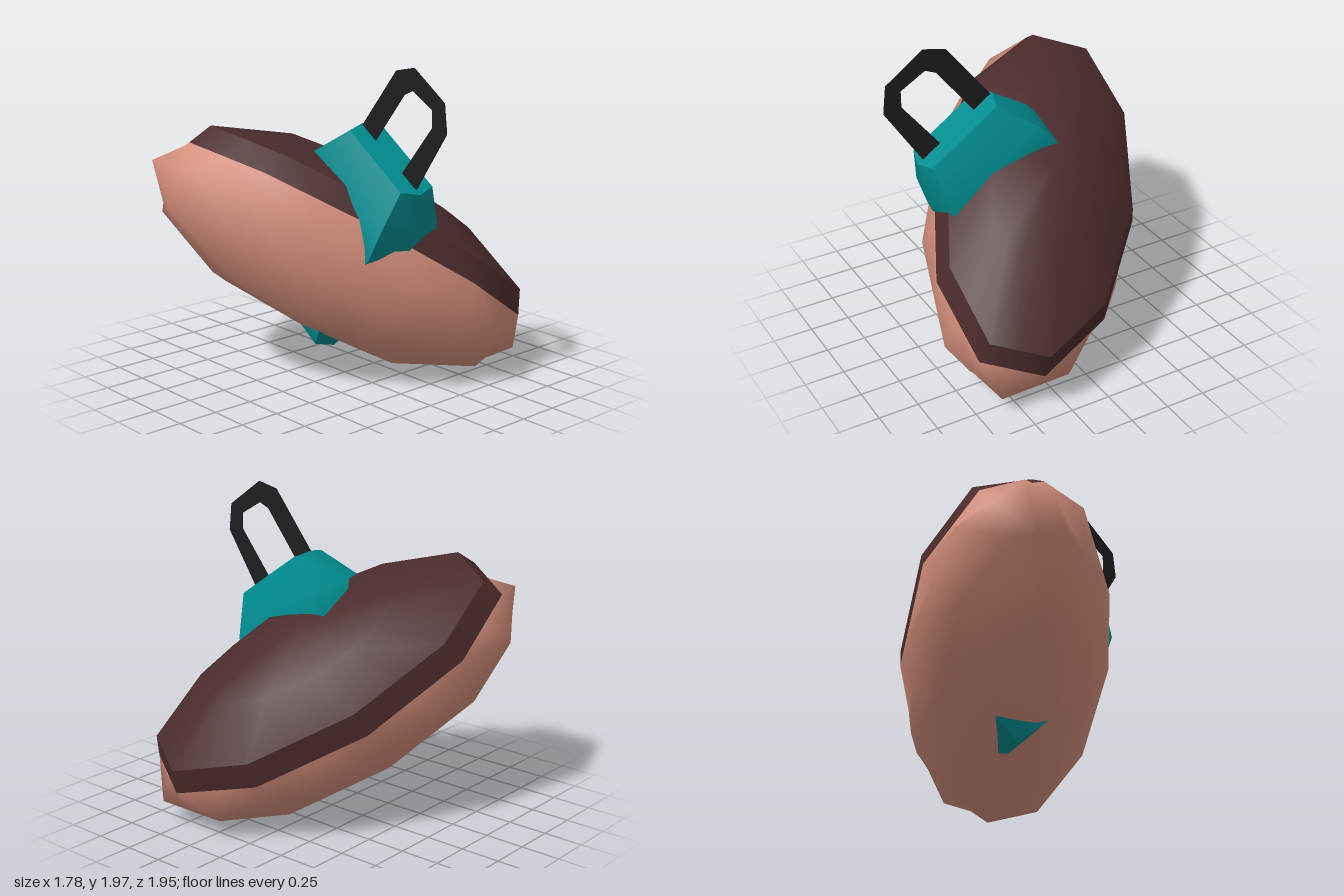
import * as THREE from 'three';
import { mergeVertices, toCreasedNormals } from 'three/addons/utils/BufferGeometryUtils.js';

const mat = (name, color, side = THREE.FrontSide) =>
  Object.assign(new THREE.MeshStandardMaterial({ color, side }), { name });

function add(group, name, geometry, material) {
  const mesh = new THREE.Mesh(geometry, material);
  mesh.name = name;
  group.add(mesh);
}

// Shares vertices so the surface shades smoothly
function smooth(geometry) {
  geometry.deleteAttribute('uv');
  geometry.deleteAttribute('normal');
  const g = mergeVertices(geometry, 1e-4);
  g.computeVertexNormals();
  return g;
}

// Lofts rings along y; place(ring, k, sin, cos) gives the point at step k around
function loft(rings, steps, place) {
  const g = new THREE.LatheGeometry(rings.map(([h, a]) => new THREE.Vector2(a, h)), steps);
  const p = g.attributes.position;
  for (let i = 0; i < p.count; i++) {
    const k = Math.floor(i / rings.length) % steps;
    const angle = (k / steps) * Math.PI * 2;
    p.setXYZ(i, ...place(rings[i % rings.length], k, Math.sin(angle), Math.cos(angle)));
  }
  return smooth(g);
}

// Layer of ten-sided ovals: [height, x radius, z radius, 1 = corner at the tip, 0 = flat tip]
const ovalLayer = (rings) => loft(rings, 20, ([h, a, b, pointed], k, s, c) => {
  const r = k % 2 === pointed ? 1 : Math.cos(Math.PI / 10);
  const x = s * a * r;
  return [x, h + 0.04 * x, c * b * r];
});

// Block of long hexagons: [height, half x, half z]
const HEXAGON = [[0.86, 1], [1, 0], [0.86, -1], [-0.86, -1], [-1, 0], [-0.86, 1]];
const hexBlock = (rings) => loft(rings, 6, ([h, a, b], k) => [HEXAGON[k][0] * a, h, HEXAGON[k][1] * b]);

export function createModel() {
  const model = new THREE.Group();
  model.name = 'tiltedPod';
  const tan = mat('tan', 0xd58f7c);
  const brown = mat('darkBrown', 0x4b2b2c);
  const teal = mat('teal', 0x008c90);
  const black = mat('black', 0x1e1e1e, THREE.DoubleSide);

  // Tilted oval body: tan shell, brown rim band and brown dome
  const body = new THREE.Group();
  body.name = 'body';
  const along = new THREE.Vector3(0.531, -0.521, -0.668).normalize();
  const up = new THREE.Vector3(0.06, 0.79, -0.61);
  up.addScaledVector(along, -up.dot(along)).normalize();
  const across = new THREE.Vector3().crossVectors(along, up);
  body.applyMatrix4(new THREE.Matrix4().makeBasis(along, up, across).setPosition(-0.04, 0.82, -0.01));
  const rim = [0.11, 1.19, 0.63, 0];
  const shoulder = [0.26, 1.125, 0.58, 0];
  add(body, 'shell', ovalLayer([
    [-0.53, 0, 0, 0], [-0.49, 0.62, 0.3, 1], [-0.29, 1.1, 0.54, 0], [-0.06, 1.26, 0.64, 1], rim,
  ]), tan);
  add(body, 'rimBand', ovalLayer([rim, shoulder]), brown);
  add(body, 'dome', ovalLayer([shoulder, [0.46, 0.65, 0.36, 0], [0.55, 0, 0, 0]]), brown);
  model.add(body);

  // Block that passes through the body and shows above and below
  const clasp = new THREE.Group();
  clasp.name = 'clasp';
  const e = new THREE.Vector3(0.82, -0.572, 0).normalize();
  const f = new THREE.Vector3(-e.y, e.x, 0);
  const origin = e.clone().multiplyScalar(-0.475).setZ(0.035);
  clasp.applyMatrix4(new THREE.Matrix4().makeBasis(e, f, new THREE.Vector3(0, 0, 1)).setPosition(origin));
  const block = hexBlock([
    [0.125, 0, 0], [0.125, 0.31, 0.12], [0.4, 0.37, 0.25], [0.75, 0.36, 0.22],
    [1.04, 0.44, 0.245], [1.2, 0.41, 0.235], [1.445, 0.3, 0.125], [1.445, 0, 0],
  ]);
  add(clasp, 'claspBlock', toCreasedNormals(block, 0.9), teal);
  model.add(clasp);

  // Thin angular loop on top of the clasp
  const loop = new THREE.Shape([
    [0.2, 1.62], [0.48, 1.97], [0.62, 2], [0.86, 1.83], [0.88, 1.66], [0.65, 1.31],
    [0.53, 1.38], [0.77, 1.68], [0.77, 1.78], [0.615, 1.87], [0.545, 1.84], [0.3, 1.53],
  ].map(([x, y]) => new THREE.Vector2(x, y)));
  const loopGeometry = new THREE.ExtrudeGeometry(loop, { depth: 0.008, bevelEnabled: false });
  loopGeometry.translate(0, 0, 0.034);
  add(model, 'handleLoop', loopGeometry, black);

  return model;
}
